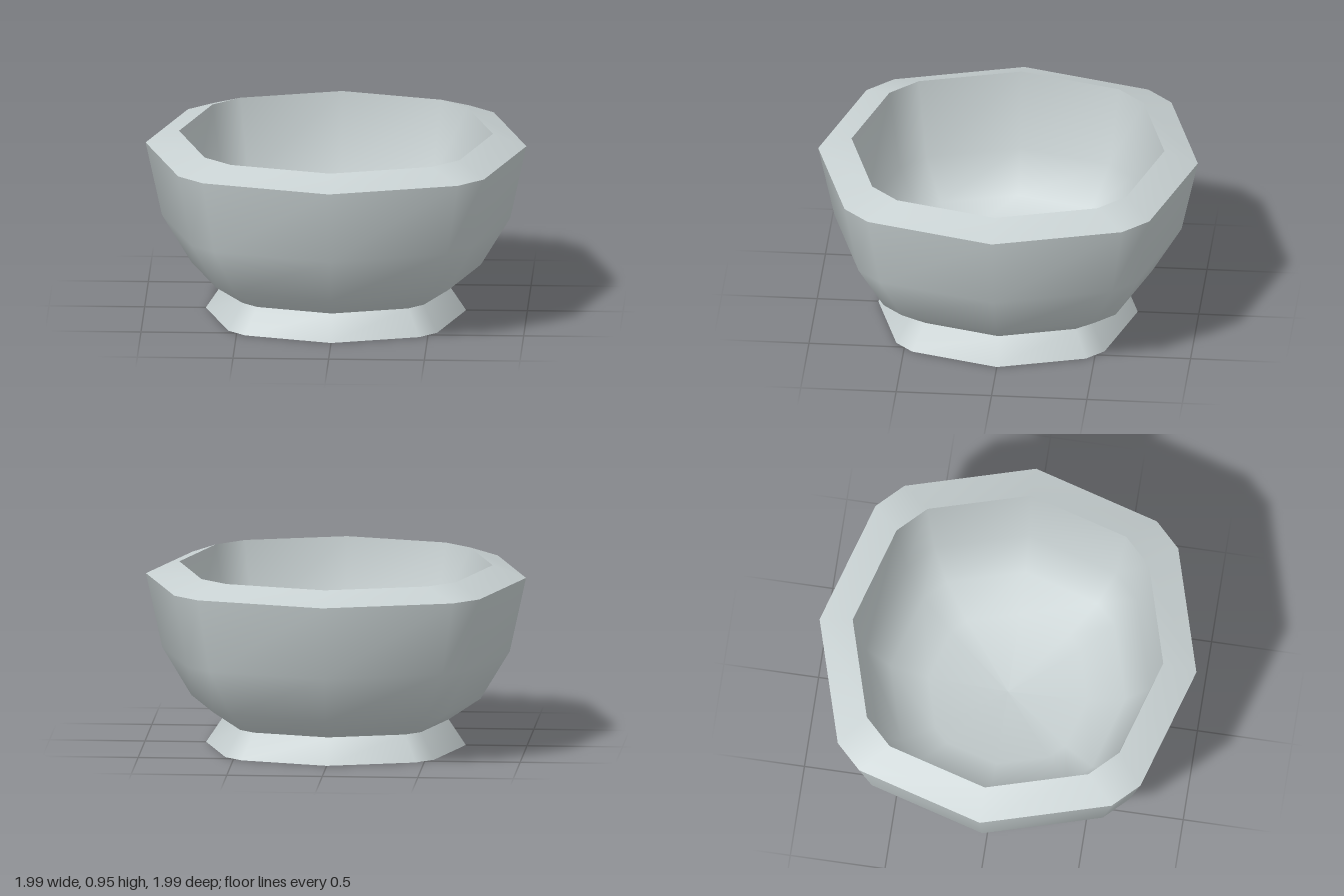
import * as THREE from 'three';

// Softened square outline with a pointed middle on each side: 12 corners per ring.
// a and b are the long and short offsets of the corner pair for a ring of radius 1.
function outline(a, b) {
  const points = [];
  for (let q = 0; q < 4; q++) {
    const c = Math.round(Math.cos(q * Math.PI / 2));
    const s = Math.round(Math.sin(q * Math.PI / 2));
    for (const [x, z] of [[1, 0], [a, b], [b, a]]) points.push([x * c - z * s, x * s + z * c]);
  }
  return points;
}
const OUTER = outline(0.803, 0.67);
const INNER = outline(0.813, 0.64);

// Joins rings [radius, height, outline] into one smooth surface.
function loft(rings) {
  const position = [], index = [], n = 12;
  for (const [r, y, shape = OUTER] of rings) {
    for (const [x, z] of shape) position.push(x * r, y, z * r);
  }
  for (let i = 0; i < rings.length - 1; i++) {
    for (let j = 0; j < n; j++) {
      const a = i * n + j, c = i * n + (j + 1) % n;
      if (rings[i][0] > 0) index.push(a, a + n, c);
      if (rings[i + 1][0] > 0) index.push(c, a + n, c + n);
    }
  }
  const geometry = new THREE.BufferGeometry();
  geometry.setAttribute('position', new THREE.Float32BufferAttribute(position, 3));
  geometry.setIndex(index);
  geometry.computeVertexNormals();
  return geometry;
}

export function createModel() {
  const group = new THREE.Group();
  group.name = 'footedBowl';
  const ceramic = new THREE.MeshStandardMaterial({ color: 0xc8d1d2 });
  ceramic.name = 'paleGrey';

  // Each part is separate so the edges between parts stay sharp.
  const parts = {
    footBase: [[0, 0], [0.68, 0]],
    foot: [[0.68, 0], [0.59, 0.135]],
    bowlOutside: [[0.59, 0.135], [0.757, 0.247], [0.91, 0.5], [0.995, 0.89]],
    rim: [[0.995, 0.89], [0.82, 0.955, INNER]],
    bowlInside: [
      [0.82, 0.955, INNER], [0.75, 0.54, INNER], [0.62, 0.33, INNER],
      [0.42, 0.23, INNER], [0, 0.19, INNER],
    ],
  };
  for (const [name, rings] of Object.entries(parts)) {
    const mesh = new THREE.Mesh(loft(rings), ceramic);
    mesh.name = name;
    group.add(mesh);
  }
  return group;
}
